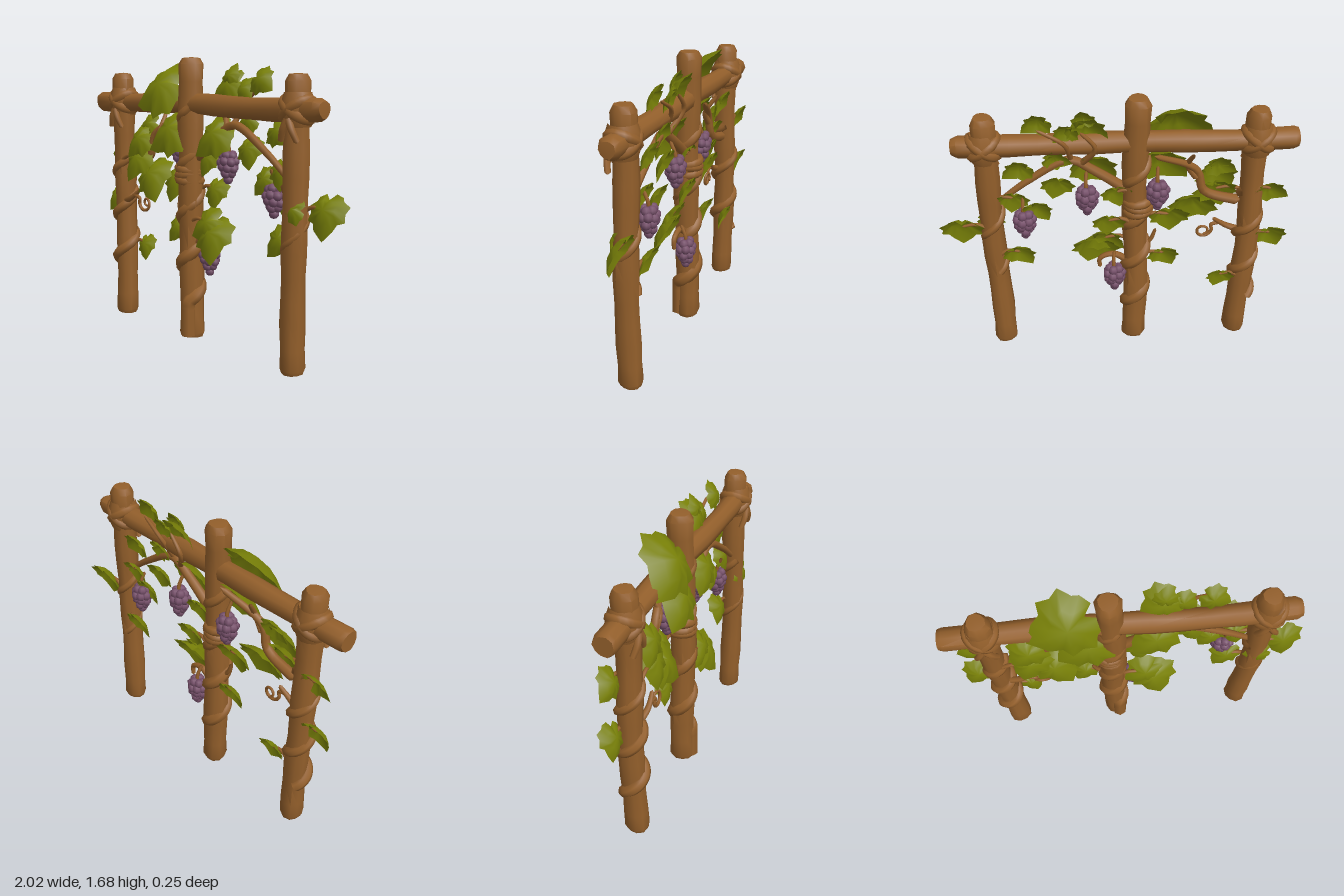
import * as THREE from 'three';
import { mergeGeometries, toCreasedNormals } from 'three/addons/utils/BufferGeometryUtils.js';

const mat = (name, color, side = THREE.FrontSide) => {
  const m = new THREE.MeshStandardMaterial({ color, side });
  m.name = name;
  return m;
};
const V = (x, y, z) => new THREE.Vector3(x, y, z);

export function createModel() {
  const root = new THREE.Group();
  root.name = 'grapeTrellis';
  const wood = mat('wood brown', 0x935f2b);
  const green = mat('leaf green', 0x788008, THREE.DoubleSide);
  const purple = mat('grape purple', 0x76506a);

  const add = (name, geo, material, parent = root) => {
    const m = new THREE.Mesh(geo, material);
    m.name = name;
    parent.add(m);
    return m;
  };

  // Rough log standing on y = 0, with chamfered ends and a gently wandering surface
  function logGeometry(len, r, seed) {
    const pts = [[0, 0], [r * 0.9, 0], [r * 1.04, 0.025]];
    for (let i = 1; i < 12; i++) pts.push([r * (1 + 0.05 * Math.sin(i * 1.9 + seed)), (len * i) / 12]);
    pts.push([r, len - 0.04], [r * 0.72, len - 0.005], [0, len]);
    const g = new THREE.LatheGeometry(pts.map(p => new THREE.Vector2(...p)), 10);
    const p = g.attributes.position;
    for (let i = 0; i < p.count; i++) {
      const x = p.getX(i), y = p.getY(i), z = p.getZ(i);
      const k = 1 + 0.06 * Math.sin(3 * Math.atan2(z, x) + y * 4 + seed);
      p.setXYZ(i, x * k + 0.006 * Math.sin(y * 5 + seed), y, z * k + 0.006 * Math.cos(y * 4 + seed));
    }
    return toCreasedNormals(g, 0.9);
  }

  // Tapered, closed-ended branch through a list of points
  function branch(name, points, r0, r1 = r0 * 0.5, parent = root) {
    const curve = new THREE.CatmullRomCurve3(points);
    const n = points.length * 5, sides = 7;
    const g = new THREE.TubeGeometry(curve, n, 1, sides);
    const p = g.attributes.position, v = V(0, 0, 0);
    for (let i = 0; i < p.count; i++) {
      const ring = Math.floor(i / (sides + 1)), t = ring / n;
      const r = ring === 0 || ring === n ? 0.0005 : r0 + (r1 - r0) * t;
      const c = curve.getPointAt(t);
      v.fromBufferAttribute(p, i).sub(c).multiplyScalar(r).add(c);
      p.setXYZ(i, v.x, v.y, v.z);
    }
    add(name, g, wood, parent);
  }

  // Vine winding up a post; it crosses the front at yFront, rising towards +x.
  // Angles above maxAngle are held, so that the foot of the vine runs straight.
  function winding(name, cx, y0, y1, yFront, pitch, R, r0, r1, maxAngle = Infinity) {
    const pts = [];
    const n = Math.ceil(((y1 - y0) / pitch) * 9);
    for (let i = 0; i <= n; i++) {
      const y = y0 + ((y1 - y0) * i) / n;
      const a = Math.min(maxAngle, Math.PI / 2 - ((y - yFront) / pitch) * Math.PI * 2);
      pts.push(V(cx + R * Math.cos(a), y, R * Math.sin(a)));
    }
    branch(name, pts, r0, r1);
  }

  // Three posts and the beam
  const postX = [-0.765, -0.108, 0.717];
  ['rightPost', 'middlePost', 'leftPost'].forEach((name, i) => {
    const middle = i === 1;
    const post = add(name, logGeometry(middle ? 1.68 : 1.59, middle ? 0.073 : 0.068, 1 + i * 1.5), wood);
    post.position.set(postX[i], 0.005, 0);
    post.rotation.z = i === 0 ? 0.008 : 0;
  });
  const beam = add('beam', logGeometry(1.9, 0.062, 0.6), wood);
  beam.position.set(-1, 1.412, 0);
  beam.rotation.z = -Math.PI / 2;

  // Heavy rope lashings where the beam meets the outer posts
  for (const [name, x] of [['rightLashing', -0.775], ['leftLashing', 0.72]]) {
    const knot = new THREE.Group();
    knot.name = name;
    knot.position.set(x, 1.412, 0);
    root.add(knot);
    const band = [-2, -1, 0, 1, 2].map(i => new THREE.Vector2(0.092 - 0.005 * i * i, i * 0.044));
    add('wrap', new THREE.LatheGeometry(band, 12), wood, knot);
    for (const s of [-1, 1]) {
      const loop = [];
      for (let i = 0; i < 12; i++) {
        const a = (i / 12) * Math.PI * 2;
        loop.push(V(0.07 * Math.cos(a), s * 0.05 * Math.cos(a), 0.07 * Math.sin(a)));
      }
      add('crossRope', new THREE.TubeGeometry(new THREE.CatmullRomCurve3(loop, true), 28, 0.03, 7, true), wood, knot);
      branch('ropeEnd', [V(0, -0.04, 0.07), V(s * 0.03, -0.1, 0.075), V(s * 0.058, -0.165, 0.06)], 0.022, 0.016, knot);
    }
  }
  // Rope rings round the middle post
  for (const i of [-1, 0, 1]) {
    const ring = add('ropeRing', new THREE.TorusGeometry(0.066, 0.027, 7, 16), wood);
    ring.position.set(-0.122, 1 + i * 0.033, 0);
    ring.rotation.set(Math.PI / 2, i === 0 ? 0.13 : -0.12, 0);
  }

  // Vines climbing the posts
  winding('rightVine', -0.772, 0.3, 1.08, 0.42, 0.285, 0.06, 0.035, 0.026);
  winding('middleVine', -0.113, 0.01, 1.4, 0.49, 0.29, 0.053, 0.046, 0.03, 7.3);
  winding('leftVine', 0.717, 0.56, 1.02, 0.72, 0.34, 0.056, 0.02, 0.024);

  // Main branches as radius and x, y pairs; they pass behind the beam
  const branches = [
    [0.032, -0.72, 1, -0.5, 1.08, -0.45, 1.22, -0.2, 1.36],
    [0.022, -0.46, 1.16, -0.4, 1.25, -0.42, 1.36],
    [0.032, -0.09, 1.08, 0.13, 1.24, 0.26, 1.31, 0.5, 1.18, 0.69, 1.03],
    [0.02, 0.2, 1.28, 0.12, 1.42, 0.2, 1.52],
    [0.017, 0.25, 1.31, 0.29, 1.45, 0.43, 1.54],
    [0.024, -0.08, 0.58, 0.02, 0.64, 0.1, 0.61, 0.1, 0.54],
    [0.018, -0.13, 0.68, -0.2, 0.74, -0.23, 0.82],
  ];
  for (const [r, ...xy] of branches) {
    const pts = [];
    for (let i = 0; i < xy.length; i += 2) pts.push(V(xy[i], xy[i + 1], xy[i + 1] > 1.33 ? -0.07 : 0));
    branch('branch', pts, r);
  }

  // Curled tendril growing from the right post
  branch('tendrilStem', [V(-0.73, 0.77, 0.03), V(-0.65, 0.8, 0.04), V(-0.57, 0.86, 0.03)], 0.022);
  const spiral = [V(-0.62, 0.82, 0.04)];
  for (let i = 0; i <= 14; i++) {
    const a = 2.6 + i * 0.62, r = 0.054 - i * 0.0028;
    spiral.push(V(-0.52 + r * Math.cos(a), 0.775 + r * Math.sin(a), 0.04 - i * 0.002));
  }
  branch('tendril', spiral, 0.012, 0.007);

  // Domed five-lobed leaf of unit size, tip towards -y
  const half = [[0.13, 0.47], [0.3, 0.4], [0.34, 0.31], [0.52, 0.2], [0.44, 0.04], [0.48, -0.14], [0.31, -0.2], [0.24, -0.36]];
  const outline = [[0, 0.3], ...half, [0, -0.58], ...half.map(([x, y]) => [-x, y]).reverse()];
  const pos = [0, 0.05, 0.19], index = [], n = outline.length;
  for (const [s, z] of [[0.55, 0.14], [1, 0]])
    for (const [x, y] of outline) pos.push(x * s, 0.05 + (y - 0.05) * s, z - 0.12 * s * x * x - (y < -0.4 ? 0.06 * s : 0));
  for (let i = 0; i < n; i++) {
    const a = 1 + i, b = 1 + ((i + 1) % n);
    index.push(0, b, a, a, b, b + n, a, b + n, a + n);
  }
  const leafGeo = new THREE.BufferGeometry();
  leafGeo.setAttribute('position', new THREE.Float32BufferAttribute(pos, 3));
  leafGeo.setIndex(index);
  leafGeo.computeVertexNormals();

  // Leaf before (side 1) or behind (side -1) the posts, always facing front and up;
  // leaves close to a post get a stem
  function leaf(side, [x, y, size, tip], i) {
    const z = side * (0.04 + 0.01 * Math.sin(i * 2.4));
    const m = add('leaf', leafGeo, green);
    m.position.set(x, y, z - size * 0.05);
    m.scale.setScalar(size * 1.06);
    m.rotation.set(-0.25 - size, 0, THREE.MathUtils.degToRad(tip + 90));
    const px = postX.find(p => Math.abs(p - x) < 0.22);
    if (px !== undefined && y < 1.12) branch('leafStem', [V(px, y - 0.02, z), V((px + x) / 2, y + 0.03, z), V(x, y + 0.02, z)], 0.015);
  }
  // Each leaf: x, y, size, direction of the tip in degrees
  [
    [-0.345, 1.485, 0.37, 205], [-0.25, 1.235, 0.32, 215], [-0.575, 1.165, 0.23, 230], [-0.575, 1.04, 0.24, 250],
    [-0.435, 0.945, 0.28, 300], [0.07, 0.72, 0.23, 215], [0.13, 0.655, 0.27, 285], [0.12, 1.23, 0.27, 225], [0.735, 0.895, 0.15, 190],
  ].forEach((l, i) => leaf(1, l, i));
  [
    [-0.57, 1.265, 0.17, 200], [-0.875, 1.09, 0.18, 200], [-0.91, 0.765, 0.19, 240], [-0.625, 0.47, 0.16, 285],
    [-0.3, 0.93, 0.22, 265], [-0.28, 0.645, 0.18, 240], [0.05, 0.905, 0.18, 275], [0, 1.09, 0.17, 260],
    [0.16, 1.51, 0.23, 215], [0.18, 1.58, 0.13, 80], [0.43, 1.55, 0.16, 330], [0.28, 1.5, 0.14, 320],
    [0.335, 1.33, 0.15, 190], [0.335, 1.165, 0.18, 285], [0.545, 1.28, 0.17, 330], [0.585, 1.07, 0.17, 280],
    [0.45, 1.01, 0.17, 235], [0.57, 0.695, 0.19, 235], [0.89, 0.885, 0.23, 275],
  ].forEach((l, i) => leaf(-1, l, i));

  // Grape bunch: rings of plump berries narrowing downwards, with a short stalk
  const berries = [];
  [0.03, 0.044, 0.038, 0.024, 0].forEach((R, row) => {
    const count = Math.max(1, Math.round(R * 150));
    for (let i = 0; i < count; i++) {
      const a = (i / count) * Math.PI * 2 + row * 0.5;
      const y = 0.06 - row * 0.034 + 0.006 * Math.sin(i * 2.3);
      berries.push(new THREE.SphereGeometry(0.029, 7, 5).translate(R * Math.cos(a), y, R * Math.sin(a) * 0.85));
    }
  });
  const bunchGeo = mergeGeometries(berries);
  for (const [x, y] of [[-0.23, 1.09], [0.17, 1.07], [0.53, 0.92], [0.015, 0.5]]) {
    add('grapeBunch', bunchGeo, purple).position.set(x, y, -0.04);
    branch('grapeStalk', [V(x, y + 0.04, -0.04), V(x + 0.005, y + 0.1, -0.04), V(x, y + 0.17, -0.01)], 0.012, 0.01);
  }
  return root;
}
